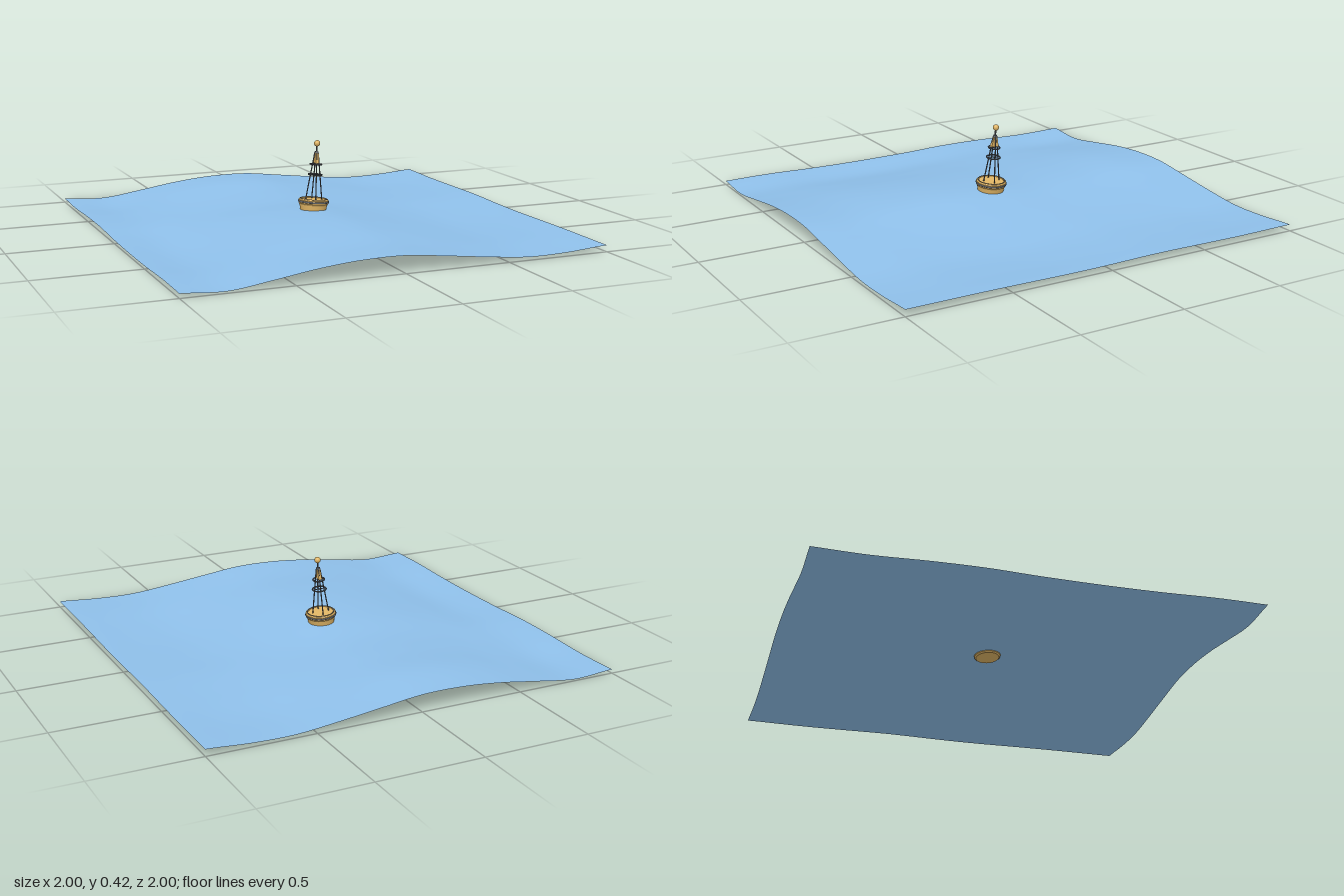
import * as THREE from 'three';

const mat = (color, side = THREE.FrontSide) => new THREE.MeshStandardMaterial({ color, side });

// smooth height curve through evenly spaced samples over -1..1
function track(samples) {
  const curve = new THREE.SplineCurve(samples.map((v, i) => new THREE.Vector2(i, v)));
  return u => curve.getPoint(THREE.MathUtils.clamp((u + 1) / 2, 0, 1)).y;
}

export function createModel() {
  const model = new THREE.Group();
  const yellow = mat(0xe0b565);
  const steel = mat(0x5c6066);

  const add = (parent, name, geometry, material, x = 0, y = 0, z = 0) => {
    const mesh = new THREE.Mesh(geometry, material);
    mesh.name = name;
    mesh.position.set(x, y, z);
    parent.add(mesh);
    return mesh;
  };

  const rod = (parent, name, a, b, radius, material) => {
    const from = new THREE.Vector3(...a), to = new THREE.Vector3(...b);
    const dir = to.clone().sub(from);
    const mesh = add(parent, name, new THREE.CylinderGeometry(radius, radius, dir.length(), 8), material);
    mesh.position.copy(from).lerp(to, 0.5);
    mesh.quaternion.setFromUnitVectors(new THREE.Vector3(0, 1, 0), dir.normalize());
    return mesh;
  };

  // water: one swell across x whose strength varies along z, plus fine ripples
  const swell = track([-0.025, -0.037, -0.005, 0.03, 0.052, 0.053, 0.024, -0.006, -0.028, -0.025, -0.01]);
  const strength = track([0.8, 0.95, 0.68, 0.55, 0.85, 1, 0.9, 0.7, 0.78]);
  const water = new THREE.PlaneGeometry(2, 2, 80, 80).rotateX(-Math.PI / 2);
  const p = water.attributes.position;
  for (let i = 0; i < p.count; i++) {
    const x = p.getX(i), z = p.getZ(i);
    const ripple = 0.0015 * Math.sin(7 * x + 3 * z) * Math.sin(6 * z - 2 * x);
    p.setY(i, 0.041 + swell(x) * strength(z) + ripple);
  }
  water.computeVertexNormals();
  add(model, 'waterSurface', water, mat(0x8fc0ea, THREE.DoubleSide));

  // buoy, leaning slightly with the swell
  const buoy = new THREE.Group();
  buoy.name = 'buoy';
  buoy.position.set(-0.018, 0.075, 0.012);
  buoy.rotation.set(-0.045, 0, -0.085);
  model.add(buoy);

  // float hull with a bumper band around its rim
  const pts = [[0, 0], [0.055, 0], [0.062, 0.006], [0.067, 0.034], [0.073, 0.042],
    [0.073, 0.058], [0.068, 0.063], [0.06, 0.063], [0.06, 0.06], [0, 0.06]];
  const hullShape = pts.map(q => new THREE.Vector2(...q));
  // doubled points keep the profile corners crisp
  const crisp = hullShape.flatMap((v, i) => (i && i < pts.length - 1 ? [v, v.clone()] : [v]));
  add(buoy, 'hull', new THREE.LatheGeometry(crisp, 40), yellow);
  add(buoy, 'bumper', new THREE.TorusGeometry(0.071, 0.005, 8, 40).rotateX(Math.PI / 2), steel, 0, 0.05, 0);
  add(buoy, 'deckRing', new THREE.TorusGeometry(0.064, 0.002, 6, 40).rotateX(Math.PI / 2), steel, 0, 0.063, 0);

  // tapering tower of four legs
  const legRadius = y => THREE.MathUtils.mapLinear(y, 0.06, 0.285, 0.04, 0.009);
  for (let i = 0; i < 4; i++) {
    const a = i * Math.PI / 2 + 0.15, c = Math.cos(a), s = Math.sin(a);
    const r0 = legRadius(0.06), r1 = legRadius(0.285);
    rod(buoy, 'towerLeg', [r0 * c, 0.06, r0 * s], [r1 * c, 0.285, r1 * s], 0.003, steel);
  }

  // ring platforms around the tower
  for (const [y, r] of [[0.18, 0.033], [0.23, 0.028]]) {
    add(buoy, 'towerRing', new THREE.TorusGeometry(r, 0.0035, 6, 28).rotateX(Math.PI / 2), steel, 0, y, 0);
    for (const a of [0.15, 0.15 + Math.PI / 2]) {
      const c = Math.cos(a) * r, s = Math.sin(a) * r;
      rod(buoy, 'ringSpoke', [-c, y, -s], [c, y, s], 0.002, steel);
    }
  }

  // tapered marker panel between the upper legs
  const panel = new THREE.Shape([[-0.02, 0.235], [0.02, 0.235], [0.008, 0.285], [-0.008, 0.285]]
    .map(q => new THREE.Vector2(...q)));
  const panelGeo = new THREE.ExtrudeGeometry(panel, { depth: 0.016, bevelEnabled: false });
  panelGeo.translate(0, 0, -0.008).rotateY(Math.PI / 2);
  add(buoy, 'markerPanel', panelGeo, yellow);

  // mast and top ball
  add(buoy, 'mastCollar', new THREE.CylinderGeometry(0.009, 0.011, 0.008, 16), steel, 0, 0.288, 0);
  rod(buoy, 'mast', [0, 0.285, 0], [0, 0.325, 0], 0.004, steel);
  add(buoy, 'topBall', new THREE.SphereGeometry(0.015, 24, 16), yellow, 0, 0.331, 0);

  return model;
}
